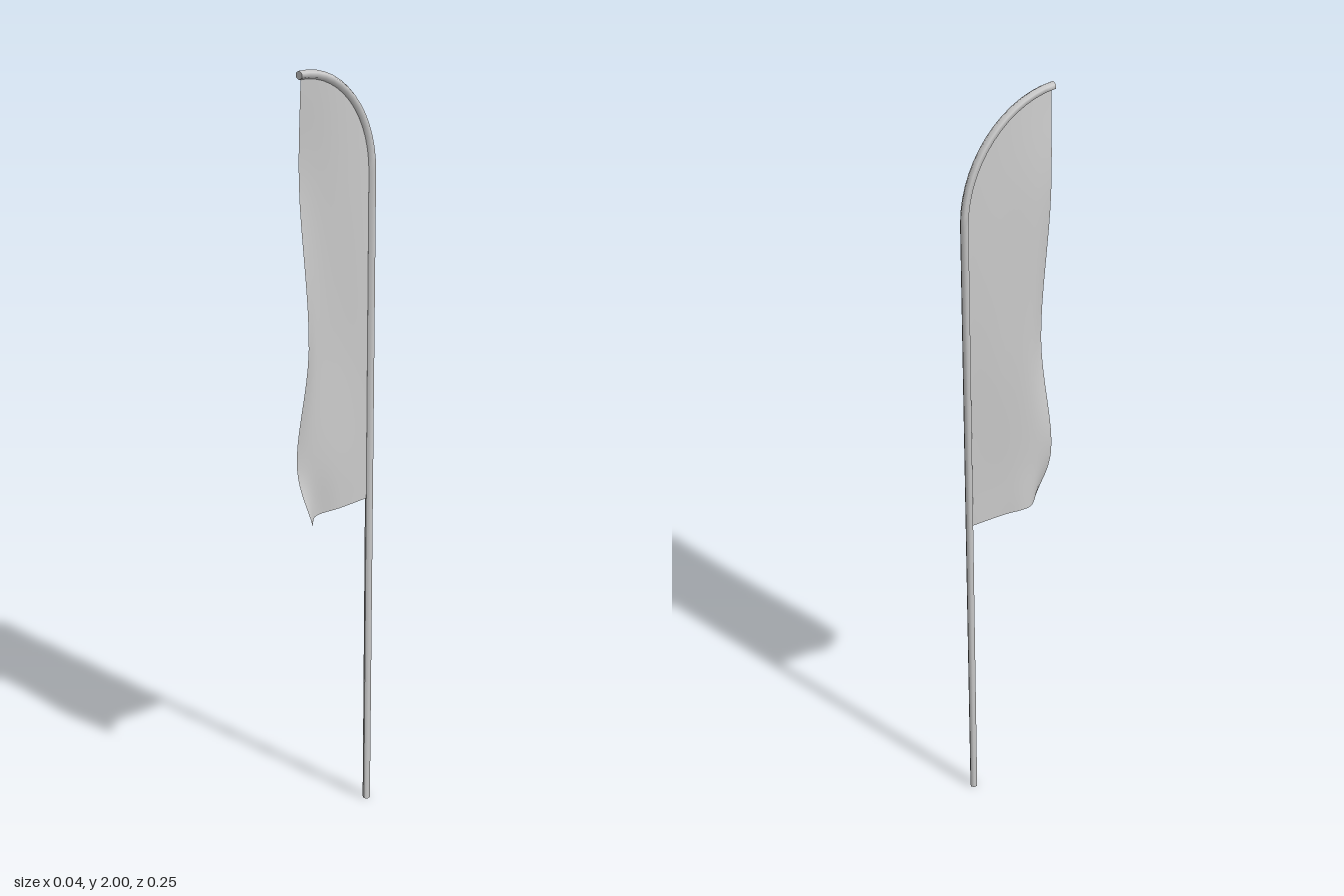
import * as THREE from 'three';

const POLE_X = 0.007, POLE_Z = -0.117, RADIUS = 0.01;
const TIP_Z = 0.122, BEND_Y = 1.73, BEND_H = 0.26, BEND_W = TIP_Z - POLE_Z;

// Height of the bent pole's centre line above a given z
function archHeight(z) {
  const t = (TIP_Z - z) / BEND_W;
  return BEND_Y + BEND_H * Math.sqrt(Math.max(0, 1 - t * t));
}

// Six-sided pole: straight shaft that bends forward in a quarter ellipse
function makePole(material) {
  const path = [new THREE.Vector2(POLE_Z, 0)];
  const steps = 14;
  for (let i = 0; i <= steps; i++) {
    const a = (i / steps) * Math.PI / 2;
    path.push(new THREE.Vector2(TIP_Z - BEND_W * Math.cos(a), BEND_Y + BEND_H * Math.sin(a)));
  }
  const last = path.length - 1;
  const geometry = new THREE.CylinderGeometry(RADIUS, RADIUS, 1, 6, last);
  const pos = geometry.attributes.position;
  for (let i = 0; i < pos.count; i++) {
    const row = Math.round((pos.getY(i) + 0.5) * last);
    const c = path[row];
    const a = (Math.max(0, row - 1) / steps) * Math.PI / 2;
    const tangent = new THREE.Vector2(BEND_W * Math.sin(a), BEND_H * Math.cos(a)).normalize();
    const side = pos.getZ(i);
    pos.setXYZ(i, POLE_X + pos.getX(i), c.y - tangent.x * side, c.x + tangent.y * side);
  }
  geometry.computeVertexNormals();
  const mesh = new THREE.Mesh(geometry, material);
  mesh.name = 'pole';
  return mesh;
}

// Rippled cloth: sideways offsets on four vertical lines, bottom to top
function makeFlag(material) {
  const levels = [0, 0.13, 0.42, 0.78, 1];
  const edgeZ = [0.096, 0.112, 0.1, 0.107, 0.117];
  const lines = [
    { u: 0, x: [0.007, 0.007, 0.007, 0.007, 0.007] },
    { u: 0.42, x: [-0.004, -0.004, -0.008, 0, 0.007] },
    { u: 0.78, x: [-0.017, -0.014, -0.009, -0.009, 0.007] },
    { u: 1, x: [0.016, -0.019, 0.01, -0.01, 0.007] },
  ];
  const startZ = POLE_Z + 0.008;
  const curves = lines.map(({ u, x }) => new THREE.CatmullRomCurve3(
    levels.map((v, i) => new THREE.Vector3(x[i], v, THREE.MathUtils.lerp(startZ, edgeZ[i], u)))));

  const cols = 20, rows = 32;
  const geometry = new THREE.PlaneGeometry(1, 1, cols, rows);
  const pos = geometry.attributes.position;
  for (let j = 0; j <= rows; j++) {
    const across = new THREE.CatmullRomCurve3(curves.map((c) => c.getPoint(1 - j / rows)));
    for (let i = 0; i <= cols; i++) {
      const p = across.getPoint(i / cols);
      const y = THREE.MathUtils.lerp(0.9, archHeight(p.z) - 0.008, p.y);
      pos.setXYZ(j * (cols + 1) + i, p.x, y, p.z);
    }
  }
  geometry.computeVertexNormals();
  const mesh = new THREE.Mesh(geometry, material);
  mesh.name = 'flag';
  return mesh;
}

export function createModel() {
  const group = new THREE.Group();
  group.name = 'featherFlag';
  group.add(makePole(new THREE.MeshStandardMaterial({ color: 0xcccccc })));
  group.add(makeFlag(new THREE.MeshStandardMaterial({ color: 0xcccccc, side: THREE.DoubleSide })));
  return group;
}
